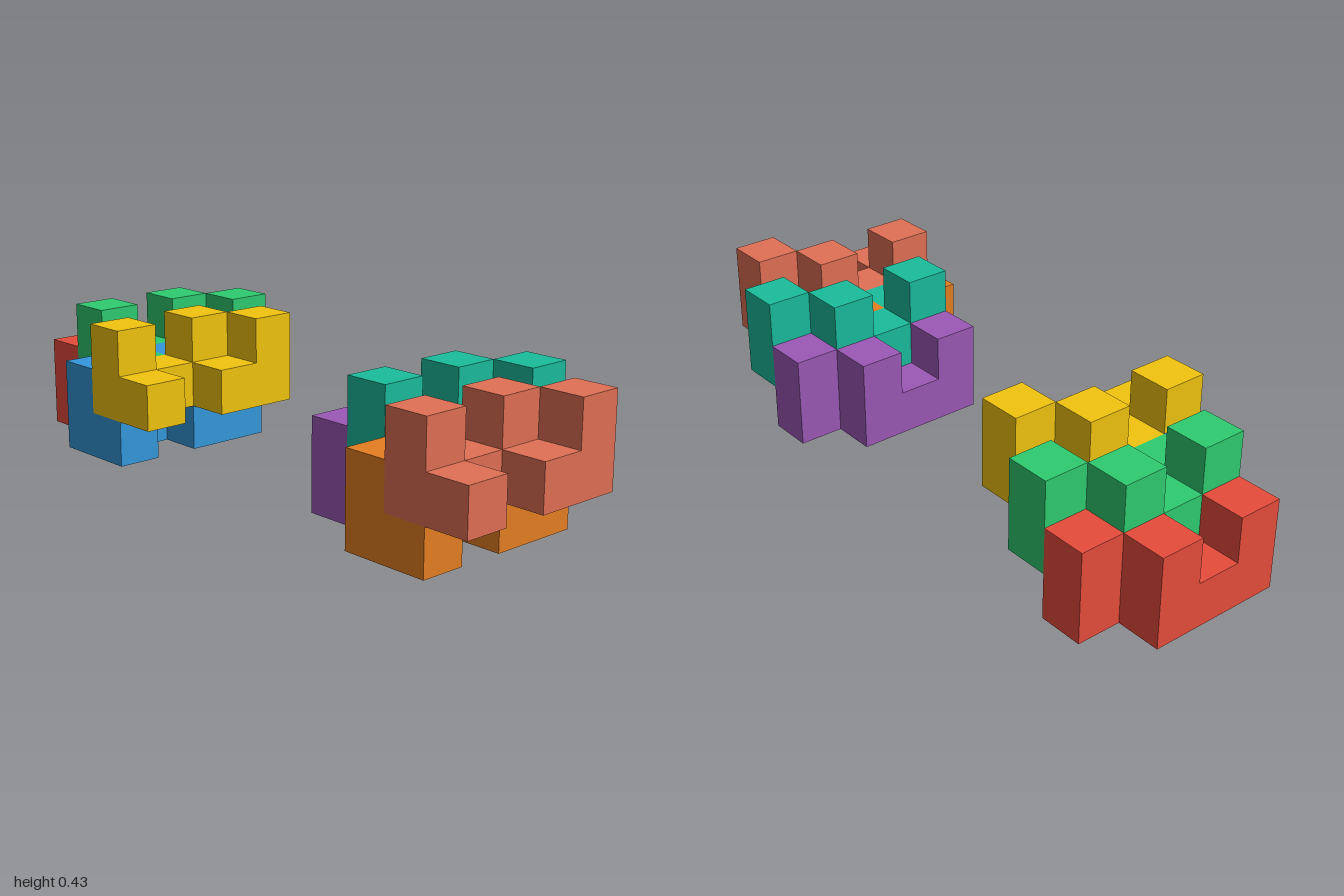
import * as THREE from 'three';
import { mergeGeometries } from 'three/addons/utils/BufferGeometryUtils.js';

const U = 1 / 7; // edge of one unit cube

// One puzzle piece as unit cells [x, y, z]: a six-cube zigzag base with three raised cubes
const CELLS = [
  [0, 0, 1], [0, 0, 2], [0, 0, 3], [1, 0, 0], [1, 0, 1], [1, 0, 3],
  [0, 1, 1], [0, 1, 3], [1, 1, 0],
];

// Outward directions with the rotation that turns a +z plane to face them
const H = Math.PI / 2;
const SIDES = [
  [[0, 0, 1], 0, 0], [[0, 0, -1], 0, 2 * H],
  [[1, 0, 0], 0, H], [[-1, 0, 0], 0, -H],
  [[0, 1, 0], -H, 0], [[0, -1, 0], H, 0],
];

// Closed outer skin of the cells, without walls between touching cubes
function pieceGeometry() {
  const filled = new Set(CELLS.map(String));
  const faces = [];
  for (const cell of CELLS) {
    for (const [dir, rx, ry] of SIDES) {
      if (filled.has(String(cell.map((v, i) => v + dir[i])))) continue;
      const centre = cell.map((v, i) => (v + 0.5 + dir[i] / 2) * U);
      faces.push(new THREE.PlaneGeometry(U, U).rotateX(rx).rotateY(ry).translate(...centre));
    }
  }
  return mergeGeometries(faces);
}

// Four interlocking copies: each step is two cells along x, alternating in height and depth
const PLACES = [
  ['outerLowerPiece', 0, 0, 0],
  ['outerUpperPiece', 1, 1, 0],
  ['innerLowerPiece', 2, 0, 1],
  ['innerUpperPiece', 3, 1, 1],
];

function cluster(name, startX, colors, geometry) {
  const group = new THREE.Group();
  group.name = name;
  PLACES.forEach(([pieceName, x, y, z], i) => {
    const mesh = new THREE.Mesh(geometry, new THREE.MeshStandardMaterial({ color: colors[i] }));
    mesh.name = pieceName;
    mesh.position.set((startX + x) * U, y * U, (z - 2.5) * U);
    group.add(mesh);
  });
  return group;
}

export function createModel() {
  const model = new THREE.Group();
  model.name = 'interlockingCubePieces';
  const geometry = pieceGeometry();
  model.add(
    cluster('rightCluster', -7, [0xe74c3c, 0x2ecc71, 0x3498db, 0xf1c40f], geometry),
    cluster('leftCluster', 2, [0x9b59b6, 0x1abc9c, 0xe67e22, 0xe17055], geometry),
  );
  return model;
}
